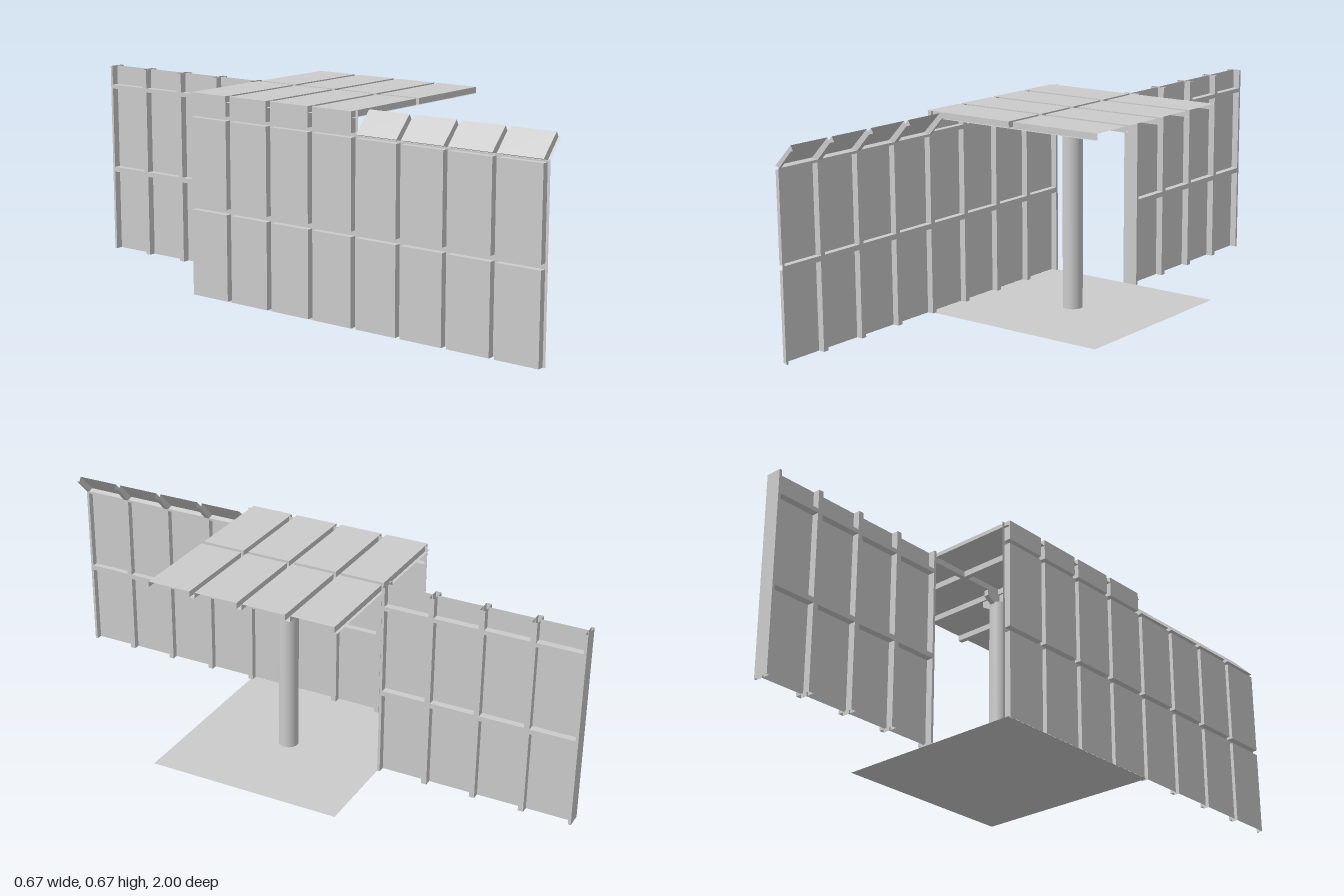
import * as THREE from 'three';

const grey = new THREE.MeshStandardMaterial({ color: 0xcccccc, side: THREE.DoubleSide });

// Samples along one axis: panel intervals doubled at each edge, grooves in between
function samples(start, end, panels) {
  const list = [];
  if (panels[0][0] > start) list.push([start, false]);
  panels.forEach(([a, b], i) => {
    if (i > 0 || a > start) list.push([a, false]);
    list.push([a, true], [b, true]);
    if (i < panels.length - 1 || b < end) list.push([b, false]);
  });
  if (panels[panels.length - 1][1] < end) list.push([end, false]);
  return list;
}

// Thin pressed sheet: panels on one level, grooves on another, joined by steps
function pressedSheet(name, us, vs, place) {
  const points = us.map(([u, pu]) => vs.map(([v, pv]) => new THREE.Vector3(...place(u, v, pu && pv))));
  const pos = [];
  for (let i = 0; i < us.length - 1; i++) {
    for (let j = 0; j < vs.length - 1; j++) {
      const a = points[i][j], b = points[i + 1][j], c = points[i + 1][j + 1], d = points[i][j + 1];
      for (const [p, q, r] of [[a, b, c], [a, c, d]]) {
        const area = q.clone().sub(p).cross(r.clone().sub(p)).length();
        if (area > 1e-8) pos.push(...p.toArray(), ...q.toArray(), ...r.toArray());
      }
    }
  }
  const geo = new THREE.BufferGeometry();
  geo.setAttribute('position', new THREE.Float32BufferAttribute(pos, 3));
  geo.computeVertexNormals();
  return mesh(name, geo);
}

function mesh(name, geo) {
  const m = new THREE.Mesh(geo, grey);
  m.name = name;
  return m;
}

// Evenly spaced panels along z, one sixth of a unit each
function zPanels(start, count) {
  const panels = [];
  for (let i = 0; i < count; i++) panels.push([start + i / 6 + 0.009, start + (i + 1) / 6 - 0.009]);
  return samples(start, start + count / 6, panels);
}

export function createModel() {
  const group = new THREE.Group();
  const T = 1 / 3, H = 0.668;
  const lowRows = [[0, 0.285], [0.302, 0.588]];
  const fullRows = samples(0, H, [...lowRows, [0.602, H]]);

  // Floor
  const floor = mesh('floor', new THREE.PlaneGeometry(2 * T, 2 * T).rotateX(-Math.PI / 2));
  group.add(floor);

  // Ceiling with two columns of four panels
  const xPanels = samples(-0.334, 0.334, [[-0.334, -0.003], [0.013, 0.334]]);
  group.add(pressedSheet('ceiling', zPanels(-T, 4), xPanels, (z, x, up) => [x, up ? H : 0.648, z]));

  // Side wall: full height beside the ceiling, lower with a sloped top beyond it
  const sideWall = new THREE.Group();
  sideWall.name = 'sideWall';
  const sidePlace = (z, y, out) => [out ? -0.334 : -0.3125, y, z];
  sideWall.add(pressedSheet('fullHeightWall', zPanels(-T, 4), fullRows, sidePlace));
  sideWall.add(pressedSheet('lowWall', zPanels(T, 4), samples(0, 0.596, lowRows), sidePlace));
  sideWall.add(pressedSheet('slopedTop', zPanels(T, 4), samples(-0.01, 1, [[0, 1]]), (z, v, out) => out
    ? [-0.334 + 0.066 * v, 0.6 + 0.068 * v, z]
    : [-0.3125 + 0.0535 * v, 0.594 + 0.058 * v, z]));
  group.add(sideWall);

  // Partition: two sheets back to back, ribs outward, closed by end plates
  const partition = new THREE.Group();
  partition.name = 'partitionWall';
  for (const s of [-1, 1]) {
    partition.add(pressedSheet('partitionSheet', zPanels(-1, 4), fullRows,
      (z, y, inner) => [s * (inner ? 0.003 : 0.027), y, z]));
  }
  for (const z of [-1, -T]) {
    const plate = mesh('endPlate', new THREE.PlaneGeometry(0.054, H));
    plate.position.set(0, H / 2, z);
    partition.add(plate);
  }
  group.add(partition);

  // Central column
  const support = new THREE.Group();
  support.name = 'support';
  support.position.set(0.006, 0, 0.006);
  const column = mesh('column', new THREE.CylinderGeometry(0.033, 0.033, 0.614, 32));
  column.position.y = 0.307;
  support.add(column);

  // Crossed brackets under the ceiling
  const profile = new THREE.Shape([[-0.065, 0.65], [-0.065, 0.628], [-0.031, 0.609],
    [0.031, 0.609], [0.065, 0.628], [0.065, 0.65]].map(p => new THREE.Vector2(...p)));
  for (const turn of [0, Math.PI / 2]) {
    const geo = new THREE.ExtrudeGeometry(profile, { depth: 0.017, bevelEnabled: false });
    const bracket = mesh('bracket', geo.translate(0, 0, -0.0085));
    bracket.rotation.y = turn;
    support.add(bracket);
  }
  group.add(support);

  return group;
}
